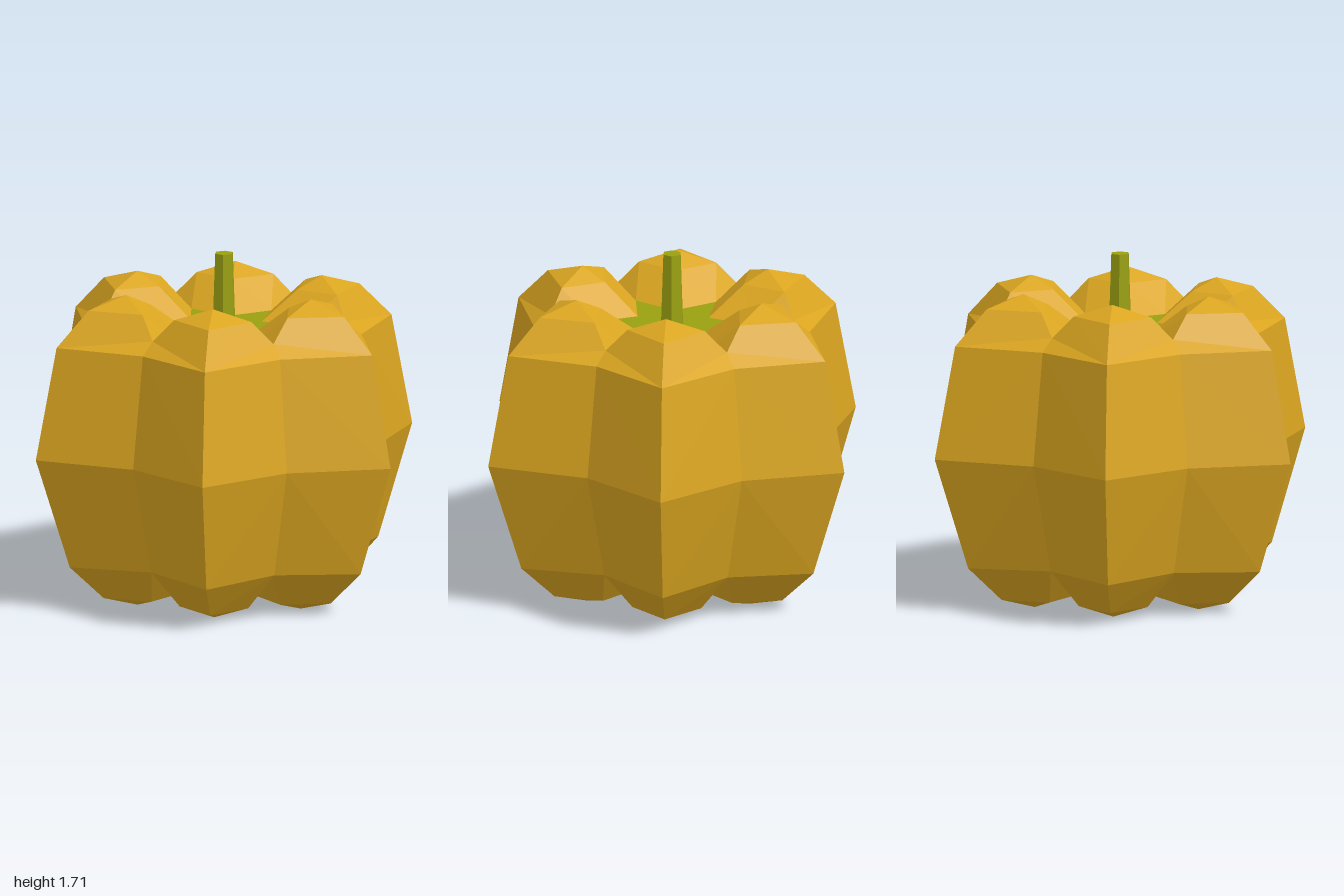
import * as THREE from 'three';

const LOBES = 6;

// Half a lobe: [radius, degrees away from the lobe's ridge, height]
const P = {
  // underside
  centre: [0, 0, 0.08], footIn: [0.3, 0, 0.05], foot: [0.46, 0, 0], footOut: [0.64, 0, 0.05],
  footSide: [0.49, 20, 0.05], gully: [0.35, 30, 0.08],
  // side wall: ridge and valley
  r1: [0.82, 0, 0.22], v1: [0.6, 30, 0.23],
  r2: [1, 0, 0.77], v2: [0.75, 30, 0.77],
  r3: [0.89, 0, 1.32], v3: [0.67, 30, 1.32],
  // top
  topOut: [0.72, 0, 1.49], topSide: [0.55, 20, 1.49], valley: [0.59, 30, 1.38],
  peak: [0.52, 0, 1.55], topIn: [0.39, 0, 1.49],
  starIn: [0.2, 0, 1.35], starTip: [0.39, 30, 1.35],
};

// Faces as fans of named points
const FACES = [
  'centre footIn gully', 'footIn footSide gully', 'footSide v1 gully',
  'footIn foot footSide', 'foot footOut footSide',
  'footOut r1 v1 footSide',
  'r1 r2 v2 v1', 'r2 r3 v3 v2',
  'r3 topOut topSide', 'r3 topSide valley', 'r3 valley v3',
  'topOut peak topSide', 'peak topIn topSide',
  'topIn starIn starTip', 'topIn starTip topSide', 'topSide starTip valley',
].map((f) => f.split(' '));

function lobeGeometry() {
  const pos = [];
  for (const side of [1, -1]) {
    const at = (name) => {
      const [r, deg, y] = P[name];
      const a = THREE.MathUtils.degToRad(deg * side);
      return [r * Math.cos(a), y, r * Math.sin(a)];
    };
    for (const face of FACES) {
      for (let i = 1; i < face.length - 1; i++) {
        const tri = [face[0], face[i], face[i + 1]];
        if (side < 0) tri.reverse(); // mirrored half
        tri.forEach((n) => pos.push(...at(n)));
      }
    }
  }
  const g = new THREE.BufferGeometry();
  g.setAttribute('position', new THREE.Float32BufferAttribute(pos, 3));
  g.computeVertexNormals();
  return g;
}

export function createModel() {
  const skin = new THREE.MeshStandardMaterial({ name: 'goldenSkin', color: 0xdaa520, flatShading: true });
  const green = new THREE.MeshStandardMaterial({ name: 'stemGreen', color: 0x9aa010, flatShading: true });
  const model = new THREE.Group();
  model.name = 'pumpkin';
  const add = (name, geometry, material, parent = model) => {
    const mesh = new THREE.Mesh(geometry, material);
    mesh.name = name;
    parent.add(mesh);
    return mesh;
  };

  // Six ribbed lobes around the axis
  const body = new THREE.Group();
  body.name = 'body';
  model.add(body);
  const lobe = lobeGeometry();
  for (let i = 0; i < LOBES; i++) {
    add('lobe', lobe, skin, body).rotation.y = (i * 2 * Math.PI) / LOBES;
  }

  // Star-shaped green hollow between the lobes
  const star = new THREE.Shape();
  for (let i = 0; i < LOBES * 2; i++) {
    const r = i % 2 ? 0.39 : 0.2;
    const a = (i * Math.PI) / LOBES;
    star[i ? 'lineTo' : 'moveTo'](r * Math.cos(a), r * Math.sin(a));
  }
  star.closePath();
  add('stemBase', new THREE.ShapeGeometry(star).rotateX(-Math.PI / 2), green).position.y = 1.35;

  // Six-sided tapering stem
  const stem = new THREE.CylinderGeometry(0.047, 0.06, 0.36, 6).rotateY(Math.PI / 6);
  add('stem', stem, green).position.y = 1.53;

  return model;
}
